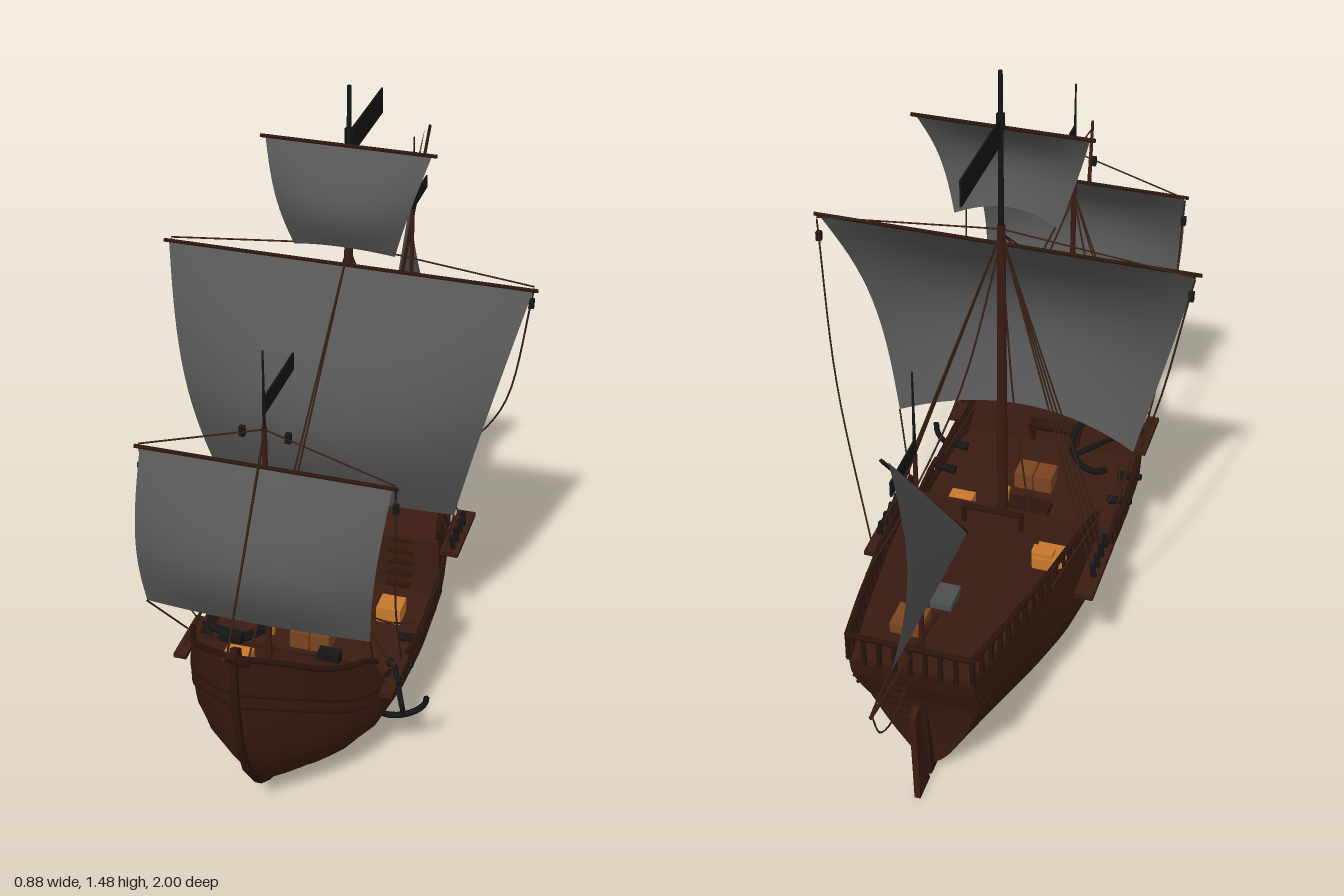
import * as THREE from 'three';
import { toCreasedNormals } from 'three/addons/utils/BufferGeometryUtils.js';

const mat = (color) => new THREE.MeshStandardMaterial({ color, side: THREE.DoubleSide });
const V = (p) => new THREE.Vector3(...p);
const lerp = THREE.MathUtils.lerp;

// Piecewise linear lookup
function table(pts, x) {
  if (x <= pts[0][0]) return pts[0][1];
  for (let i = 1; i < pts.length; i++) {
    const [a, fa] = pts[i - 1], [b, fb] = pts[i];
    if (x <= b) return lerp(fa, fb, (x - a) / (b - a));
  }
  return pts[pts.length - 1][1];
}

// Surface from a function of (u, v)
function grid(fn, nu, nv) {
  const pos = [], idx = [];
  for (let j = 0; j <= nv; j++) for (let i = 0; i <= nu; i++) pos.push(...fn(i / nu, j / nv));
  for (let j = 0; j < nv; j++) for (let i = 0; i < nu; i++) {
    const a = j * (nu + 1) + i, d = a + nu + 1;
    idx.push(a, a + 1, d + 1, a, d + 1, d);
  }
  const g = new THREE.BufferGeometry();
  g.setAttribute('position', new THREE.Float32BufferAttribute(pos, 3));
  g.setIndex(idx);
  return toCreasedNormals(g, 0.6);
}

// Hull tables: t runs from stern (0) to bow (1)
const KEEL = 0.03;
const STEM = [[0.02, 0.42], [0.06, 0.52], [0.1, 0.58], [0.2, 0.655], [0.3, 0.695], [0.42, 0.715], [0.56, 0.72]];
const STERN = [[0.02, -0.66], [0.1, -0.67], [0.25, -0.7], [0.38, -0.765], [0.5, -0.77]];
const PLAN = [[0, 0.138], [0.1, 0.168], [0.25, 0.207], [0.44, 0.243], [0.58, 0.25], [0.7, 0.247], [0.8, 0.225],
  [0.87, 0.18], [0.93, 0.115], [0.97, 0.055], [1, 0.002]];
const SECTION = [[0.03, 0], [0.036, 0.45], [0.052, 0.7], [0.1, 0.87], [0.15, 0.96], [0.2, 1], [0.28, 0.98], [0.36, 0.94], [0.56, 0.92]];
const SHEER = [[0, 0.41], [0.25, 0.37], [0.44, 0.34], [0.444, 0.2], [0.61, 0.2], [0.614, 0.24], [0.7, 0.25], [0.775, 0.285],
  [0.785, 0.34], [0.81, 0.375], [0.84, 0.39], [0.9, 0.44], [0.95, 0.5], [1, 0.555]];
const DECK = [[0, 0.4], [0.25, 0.36], [0.44, 0.33], [0.444, 0.185], [0.778, 0.185], [0.785, 0.33], [0.82, 0.36], [1, 0.4]];
const STATIONS = [...Array.from({ length: 41 }, (_, i) => i / 40), 0.44, 0.444, 0.61, 0.614, 0.778, 0.785, 0.97].sort((a, b) => a - b);
const sheer = (t) => table(SHEER, t);
const deckY = (t) => Math.min(table(DECK, t), sheer(t) - 0.006);
const tAt = (z) => (z + 0.77) / 1.49;

function hullPoint(t, y, side) {
  const fine = Math.max(0, 1 - t / 0.35) ** 1.4;
  const vee = Math.min(1, Math.max(0, (y - KEEL) / 0.27)) ** 0.6;
  const w = table(PLAN, t) * lerp(table(SECTION, y), vee, fine);
  return [side * w, y, lerp(table(STERN, y), table(STEM, y), t)];
}

export function createModel() {
  const ship = new THREE.Group();
  ship.name = 'sailingShip';
  const wood = mat(0x3a1b11), trim = mat(0x2c150d), black = mat(0x151515), canvas = mat(0x555555),
    rope = mat(0x3a2113), orange = mat(0xc8782c), cask = mat(0x7a4420), gold = mat(0xa87818), iron = mat(0x4a4e4e);

  const add = (name, geo, m, parent = ship) => {
    const mesh = new THREE.Mesh(geo, m);
    mesh.name = name;
    parent.add(mesh);
    return mesh;
  };
  const group = (name) => {
    const g = new THREE.Group();
    g.name = name;
    ship.add(g);
    return g;
  };
  const box = (name, [w, h, d], p, m, parent) => {
    const b = add(name, new THREE.BoxGeometry(w, h, d), m, parent);
    b.position.set(...p);
    return b;
  };
  const rod = (name, a, b, r0, r1, m, parent, sides = 8) => {
    const A = V(a), B = V(b), dir = B.clone().sub(A);
    const c = add(name, new THREE.CylinderGeometry(r1, r0, dir.length(), sides), m, parent);
    c.position.copy(A).add(B).multiplyScalar(0.5);
    c.quaternion.setFromUnitVectors(new THREE.Vector3(0, 1, 0), dir.normalize());
    return c;
  };
  const tube = (name, pts, r, m, parent, n = 16, sides = 5) =>
    add(name, new THREE.TubeGeometry(new THREE.CatmullRomCurve3(pts.map(V)), n, r, sides), m, parent);
  const plate = (name, zy, thick, m) => {
    const g = new THREE.ExtrudeGeometry(new THREE.Shape(zy.map(([z, y]) => new THREE.Vector2(z, y))), { depth: thick, bevelEnabled: false });
    return add(name, g.rotateY(-Math.PI / 2).translate(thick / 2, 0, 0), m);
  };

  // Hull shell, transom and stepped deck
  const nv = STATIONS.length - 1, stationAt = (v) => STATIONS[Math.round(v * nv)];
  const girth = (t, k) => lerp(KEEL, sheer(t), k ** 1.7);
  add('hull', grid((u, v) => {
    const t = stationAt(v), s = u * 2 - 1;
    return hullPoint(t, girth(t, Math.abs(s)), Math.sign(s));
  }, 28, nv), wood);
  add('transom', grid((u, v) => hullPoint(0, girth(0, v), 1 - 2 * u), 2, 14), wood);
  add('deck', grid((u, v) => {
    const t = stationAt(v);
    return hullPoint(t, deckY(t), u * 2 - 1);
  }, 2, nv), wood);

  // Keel with stem post, and rudder
  plate('keelAndStem', [[-0.7, 0.25], [-0.68, 0.012], [0.41, 0.012], ...STEM.map(([y, z]) => [z + 0.008, y]), [0.715, 0.575],
    ...STEM.slice(1).reverse().map(([y, z]) => [z - 0.03, y]), [0.4, 0.06], [-0.64, 0.06], [-0.67, 0.25]], 0.016, trim);
  plate('rudder', [[-0.69, 0.01], [-0.755, 0.01], [-0.76, 0.12], [-0.768, 0.27], [-0.74, 0.28], [-0.715, 0.14]], 0.014, wood);

  // Wales, gunwales, railings, channels and guns on both sides
  const sides = group('hullSides');
  const WALE = [[0, 0.3], [0.25, 0.2], [0.45, 0.155], [0.65, 0.165], [0.85, 0.26], [1, 0.42]];
  const along = (t0, t1, n, f) => Array.from({ length: n + 1 }, (_, i) => f(lerp(t0, t1, i / n)));
  const sheerPoint = (t, s, up = 0) => {
    const p = hullPoint(t, sheer(t), s);
    p[1] += up;
    return p;
  };
  const railing = (s, t0, t1, n, height) => {
    tube('rail', along(t0, t1, n, (t) => sheerPoint(t, s, height(t))), 0.007, trim, sides, n * 2);
    along(t0, t1, n, (t) => rod('railPost', sheerPoint(t, s), sheerPoint(t, s, height(t)), 0.006, 0.006, trim, sides, 4));
  };
  for (const s of [1, -1]) {
    for (const lift of [0, 0.035])
      tube('wale', along(0, 1, 24, (t) => hullPoint(t, Math.min(table(WALE, t) + lift, sheer(t)), s)), 0.004, trim, sides, 60);
    for (const [a, b] of [[0, 0.44], [0.445, 0.61], [0.614, 0.775], [0.786, 1]])
      tube('gunwale', along(a, b, 12, (t) => sheerPoint(t, s)), 0.007, trim, sides, 24);
    railing(s, 0, 0.44, 16, (t) => lerp(0.065, 0.03, t / 0.44));
    railing(s, 0.447, 0.61, 6, () => 0.042);
    for (const [a, b] of [[0.447, 0.505], [0.545, 0.58]])
      add('bulwarkPanel', grid((u, v) => sheerPoint(lerp(a, b, u), s, 0.042 * v), 4, 1), wood, sides);
    box('mainChannel', [0.045, 0.012, 0.19], [s * 0.255, 0.29, -0.22], wood, sides);
    box('foreChannel', [0.03, 0.012, 0.15], [s * 0.245, 0.27, 0.34], wood, sides);
    for (const z of [0.13, 0.23]) rod('gun', [s * 0.2, 0.215, z], [s * 0.26, 0.222, z], 0.011, 0.008, black, sides);
    for (let i = 0; i < 5; i++) box('step', [0.06, 0.006, 0.02], [s * 0.14, 0.21 + i * 0.028, -0.08 - i * 0.008], trim, sides);
  }
  tube('sternRail', [sheerPoint(0, 1, 0.065), sheerPoint(0, -1, 0.065)], 0.007, trim, sides);
  for (let i = -3; i <= 3; i++) rod('sternPost', [i * 0.034, 0.4, -0.767], [i * 0.034, 0.475, -0.767], 0.006, 0.006, trim, sides, 4);
  for (let i = 0; i < 6; i++) box('sternLadderRung', [0.045, 0.006, 0.012], [0.045, 0.19 + i * 0.035, -0.695 - i * 0.013], trim, sides);

  // Masts, bowsprit and stern boom
  const spars = group('spars');
  const MAIN = -0.11, FORE = 0.495, MIZZEN = -0.69;
  rod('mainMast', [0, 0.18, MAIN], [0, 1.12, MAIN], 0.014, 0.01, wood, spars);
  rod('topMast', [0, 1.08, MAIN], [0, 1.49, MAIN], 0.007, 0.005, black, spars);
  rod('topMastCap', [0, 1.355, MAIN], [0, 1.39, MAIN], 0.01, 0.01, black, spars);
  rod('foreMast', [0, 0.35, FORE], [0, 0.98, FORE], 0.008, 0.006, wood, spars);
  rod('foreTopMast', [0, 0.97, FORE], [0, 1.16, FORE], 0.004, 0.002, black, spars);
  rod('mizzenMast', [0, 0.38, MIZZEN], [0, 0.93, MIZZEN], 0.007, 0.005, wood, spars);
  rod('mizzenTopMast', [0, 0.92, MIZZEN], [0, 1.13, MIZZEN], 0.004, 0.002, black, spars);
  rod('bowsprit', [0.015, 0.5, 0.67], [0.085, 0.785, 1], 0.008, 0.004, wood, spars);
  rod('sternBoom', [0, 0.42, -0.6], [0, 0.495, -0.995], 0.007, 0.004, wood, spars);

  // Square sails with their yards; the middle billows further than the edges
  const squareSail = (name, { top, bottom, wTop, wBottom, z, shift, depth, arch, foot }) => {
    add(name + 'Sail', grid((a, v) => {
      const u = a * 2 - 1, c = 1 - u * u;
      return [u * lerp(wTop, wBottom, v), lerp(top, bottom, v) + arch * c * v,
        z + shift * v + foot * c * v * v + depth * Math.sin(Math.PI * v) * (0.5 + 0.5 * c)];
    }, 18, 16), canvas);
    rod(name + 'Yard', [-wTop - 0.012, top + 0.003, z], [wTop + 0.012, top + 0.003, z], 0.0045, 0.0045, trim, spars);
  };
  squareSail('main', { top: 1.06, bottom: 0.49, wTop: 0.43, wBottom: 0.29, z: -0.095, shift: 0.085, depth: 0.147, arch: 0.035, foot: 0.06 });
  squareSail('fore', { top: 0.885, bottom: 0.54, wTop: 0.275, wBottom: 0.25, z: 0.503, shift: 0.065, depth: 0.095, arch: 0.015, foot: 0.03 });
  squareSail('top', { top: 1.35, bottom: 1.11, wTop: 0.19, wBottom: 0.118, z: -0.1, shift: 0.025, depth: 0.062, arch: 0.02, foot: 0.025 });

  // Triangular sail at the stern
  const A = [-0.42, 0.51], B = [-0.895, 1.07], C = [-0.935, 0.57];
  add('lateenSail', grid((u, v) => [-0.015 - 0.045 * u * (0.2 + 0.8 * Math.sin(Math.PI * v)),
    lerp(A[1], lerp(B[1], C[1], v), u), lerp(A[0], lerp(B[0], C[0], v), u)], 14, 12), canvas);
  rod('lateenYard', [-0.012, 0.505, -0.415], [-0.012, 1.075, -0.9], 0.0045, 0.004, trim, spars);

  // Pennants
  for (const [y, z, len, h] of [[1.35, MAIN, 0.27, 0.062], [1.03, FORE, 0.195, 0.04], [0.948, MIZZEN, 0.14, 0.035]])
    box('pennant', [0.004, h, len], [0, y, z - len / 2], black);

  // Standing and running rigging
  const rig = group('rigging');
  const line = (...pts) => tube('rope', pts, 0.0022, rope, rig, pts.length > 2 ? 14 : 1, 4);
  line([0, 1.1, MAIN], [0, 0.47, 0.64]);
  line([0, 1.1, MAIN], [0, 0.53, FORE]);
  line([0, 0.975, FORE], [0.083, 0.77, 0.975]);
  line([0, 0.965, FORE], [0.075, 0.75, 0.955]);
  line([0, 0.5, -0.99], [0, 0.41, -0.95], [0, 0.375, -0.88], [0, 0.39, -0.79]);
  line([0, 0.5, -0.99], [-0.02, C[1], C[0]]);
  for (const s of [1, -1]) {
    for (let i = 0; i < 4; i++) {
      const z = -0.14 - i * 0.036;
      line([0, 1.1, MAIN], [s * 0.262, 0.3, z]);
      rod('deadeye', [s * 0.262, 0.3, z], [s * 0.258, 0.335, z], 0.007, 0.007, black, rig, 6);
    }
    for (const z of [0.33, 0.39]) line([0, 0.86, FORE], [s * 0.245, 0.28, z]);
    line([0, 1.08, MAIN], [s * 0.06, 0.75, -0.22], [s * 0.14, 0.52, -0.36], [s * 0.19, 0.42, -0.52]);
    line([0, 0.85, FORE], [s * 0.1, 0.55, 0.38], [s * 0.18, 0.35, 0.25], [s * 0.23, 0.26, 0.13]);
    line([0, 1.11, MAIN], [s * 0.43, 1.065, MAIN]);
    line([0, 0.975, FORE], [s * 0.28, 0.89, FORE]);
    line([s * 0.43, 1.06, MAIN], [s * 0.36, 0.7, -0.22], [s * 0.21, 0.4, -0.42]);
    line([s * 0.29, 0.49, -0.01], [s * 0.245, 0.25, -0.06]);
    line([s * 0.28, 0.885, FORE], [s * 0.27, 0.55, 0.44], [s * 0.245, 0.27, 0.28]);
    line([s * 0.25, 0.54, 0.57], [s * 0.22, 0.36, 0.42]);
    for (const p of [[0.425, 1.02, -0.115], [0.28, 0.83, 0.49], [0.05, 0.96, 0.49]])
      box('block', [0.012, 0.022, 0.012], [s * p[0], p[1], p[2]], black, rig);
  }

  // Anchors: shank, stock and curved arms
  const anchor = (pos, rot, size) => {
    const g = group('anchor');
    rod('shank', [0, -0.07, 0], [0, 0.08, 0], 0.006, 0.005, black, g);
    rod('stock', [0, 0.06, -0.05], [0, 0.06, 0.05], 0.006, 0.006, black, g);
    const arms = add('arms', new THREE.TorusGeometry(0.055, 0.007, 6, 12, Math.PI), black, g);
    arms.rotation.z = Math.PI;
    arms.position.y = -0.015;
    g.position.set(...pos);
    g.rotation.set(...rot);
    g.scale.setScalar(size);
  };
  anchor([0.262, 0.21, 0.345], [0.4, 0.4, 0], 1.05);
  anchor([-0.14, 0.26, 0.29], [0.9, 0.6, 0.9], 1.2);

  // Deck fittings
  const fit = group('deckFittings');
  const onDeck = (name, size, x, z, m) => box(name, size, [x, deckY(tAt(z)) + size[1] / 2, z], m, fit);
  onDeck('chest', [0.07, 0.035, 0.06], -0.17, -0.29, orange);
  onDeck('chestLid', [0.05, 0.045, 0.03], -0.155, -0.3, orange);
  onDeck('foreChest', [0.06, 0.04, 0.05], -0.06, 0.53, orange);
  onDeck('waistChest', [0.06, 0.04, 0.06], 0.15, 0.02, orange);
  onDeck('skylight', [0.05, 0.02, 0.07], 0.012, -0.5, iron);
  onDeck('crate', [0.07, 0.03, 0.07], 0.055, -0.61, cask);
  onDeck('hatch', [0.13, 0.015, 0.1], 0, 0.05, trim);
  for (const s of [1, -1]) {
    onDeck('cask', [0.046, 0.045, 0.06], s * 0.025, 0.175, cask);
    onDeck('windlassPost', [0.014, 0.06, 0.025], s * 0.06, 0.36, trim);
    onDeck('bitts', [0.05, 0.03, 0.03], s * 0.115, 0.42, black);
    rod('pinRailPost', [s * 0.07, 0.33, -0.19], [s * 0.07, 0.39, -0.19], 0.006, 0.006, trim, fit, 6);
  }
  rod('windlass', [-0.07, 0.23, 0.36], [0.07, 0.23, 0.36], 0.016, 0.016, trim, fit);
  rod('pinRail', [-0.075, 0.385, -0.19], [0.075, 0.385, -0.19], 0.007, 0.007, trim, fit, 6);
  for (const [y, z] of [[0.62, -0.705], [0.455, 0.475], [0.355, -0.085]])
    rod('lantern', [0, y - 0.018, z], [0, y + 0.018, z], 0.008, 0.012, gold, fit, 6);

  return ship;
}
